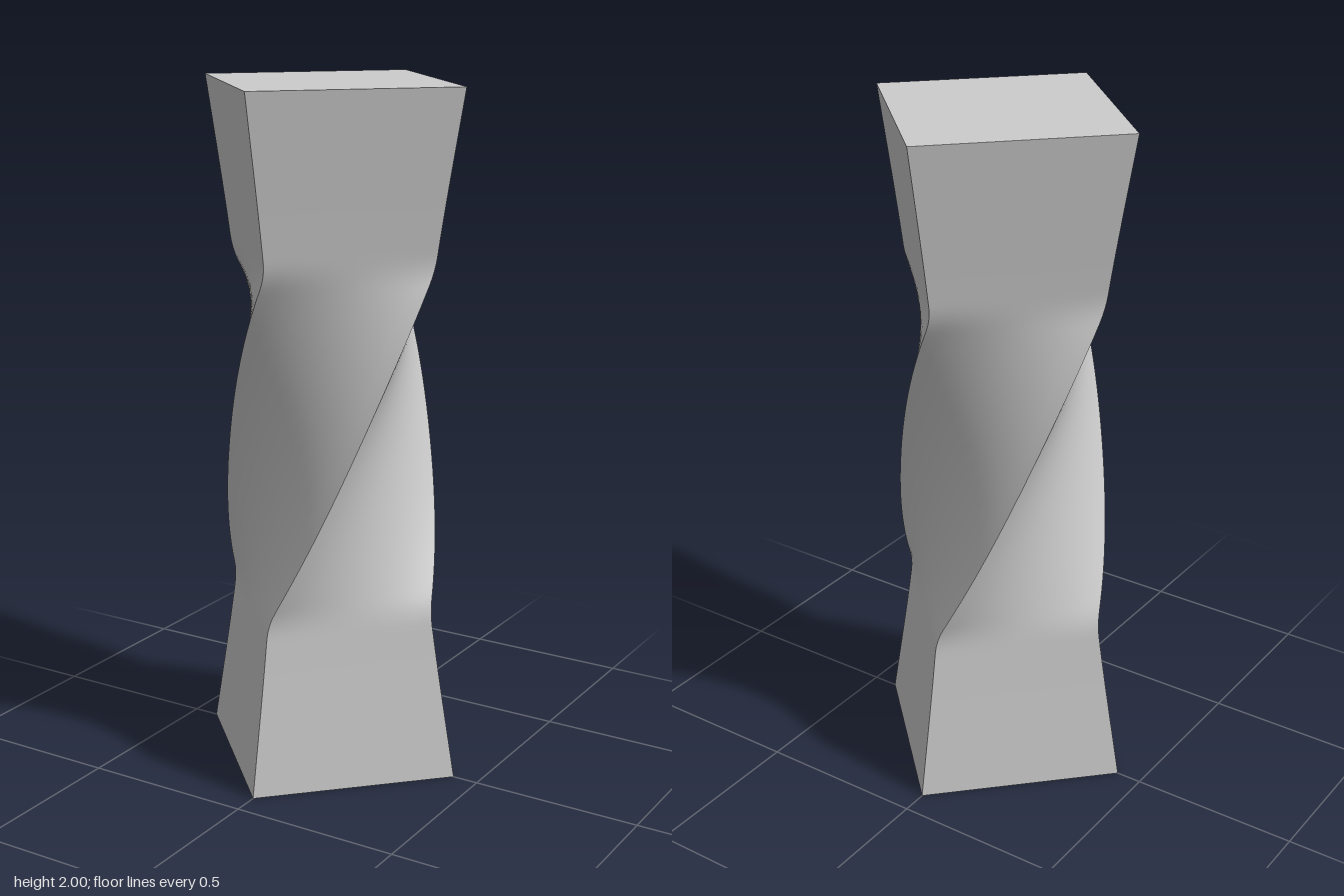
import * as THREE from 'three';

const HEIGHT = 2;

// Distance from the axis to a corner: narrowest at mid height
function cornerRadius(y) {
  const t = Math.abs(y - 1);
  return 0.297 + 0.205 * t * t - 0.078 * t * t * t;
}

// Ramp that is 0 below the start and linear above, with a short soft blend
function softRamp(d, blend = 0.04) {
  if (d <= -blend) return 0;
  if (d >= blend) return d;
  return (d + blend) ** 2 / (4 * blend);
}

// Quarter turn over the middle half; the ends stay untwisted
function twist(y) {
  return (Math.PI / 2) * (softRamp(y - 0.5) - softRamp(y - 1.5));
}

export function createModel() {
  const group = new THREE.Group();
  group.name = 'twistedColumn';

  // Square bar, scaled and turned level by level; box sides keep crisp edges
  const geometry = new THREE.BoxGeometry(1, HEIGHT, 1, 12, 100, 12);
  geometry.translate(0, HEIGHT / 2, 0);
  const pos = geometry.attributes.position;
  for (let i = 0; i < pos.count; i++) {
    const y = pos.getY(i);
    const side = cornerRadius(y) * Math.SQRT2;
    const angle = Math.PI / 4 + twist(y);
    const x = pos.getX(i) * side;
    const z = pos.getZ(i) * side;
    const c = Math.cos(angle), s = Math.sin(angle);
    pos.setXYZ(i, x * c + z * s, y, z * c - x * s);
  }
  geometry.computeVertexNormals();

  const column = new THREE.Mesh(geometry, new THREE.MeshStandardMaterial({ color: 0xcccccc }));
  column.name = 'column';
  group.add(column);
  return group;
}
